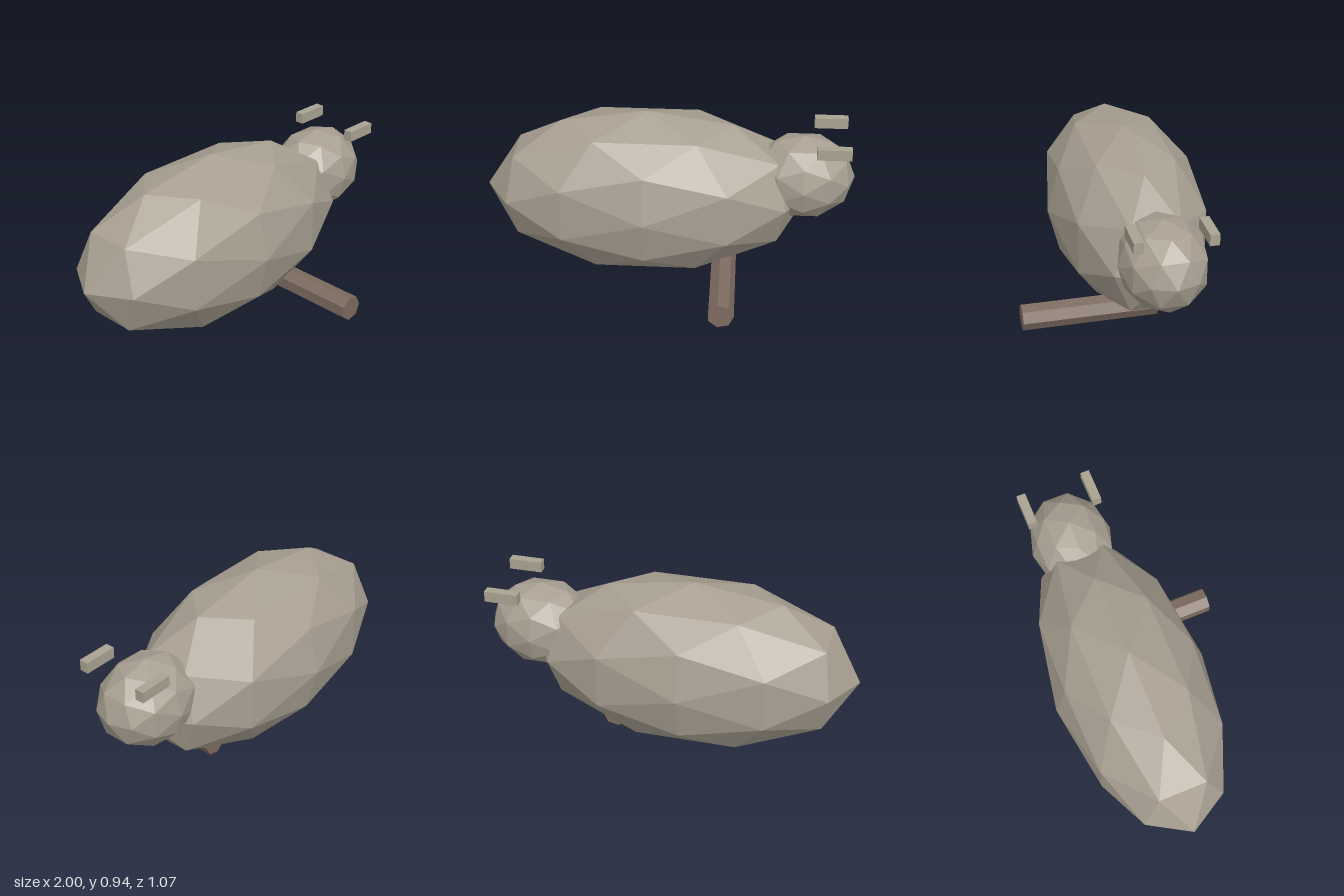
import * as THREE from 'three';

const Z = -0.112; // mid-plane of the animal

function material(name, color) {
  const m = new THREE.MeshStandardMaterial({ color, flatShading: true });
  m.name = name;
  return m;
}

export function createModel() {
  const group = new THREE.Group();
  group.name = 'animal';
  const fur = material('taupe fur', 0xa89f91);
  const earFur = material('ear grey', 0xa8a290);
  const legSkin = material('brown leg', 0x7d6b60);

  const add = (name, geometry, mat, x, y, z) => {
    const mesh = new THREE.Mesh(geometry, mat);
    mesh.name = name;
    mesh.position.set(x, y, z);
    group.add(mesh);
    return mesh;
  };

  // faceted ellipsoid
  const blob = (rx, ry, rz) => {
    const g = new THREE.IcosahedronGeometry(1, 1).scale(rx, ry, rz);
    g.computeVertexNormals();
    return g;
  };

  add('body', blob(0.88, 0.469, 0.421), fur, -0.12, 0.47, Z);
  add('head', blob(0.28, 0.237, 0.227), fur, 0.72, 0.582, Z);

  // ears, one on each side of the head
  for (const side of [-1, 1]) {
    add(side > 0 ? 'leftEar' : 'rightEar', new THREE.BoxGeometry(0.18, 0.059, 0.049),
      earFur, 0.869, 0.814, Z + side * 0.183);
  }

  // seven-sided leg lying along z
  const leg = new THREE.CylinderGeometry(0.07, 0.07, 0.727, 7)
    .rotateX(Math.PI / 2).rotateZ(Math.PI / 2);
  add('leg', leg, legSkin, 0.305, 0.086, 0.171);

  return group;
}
